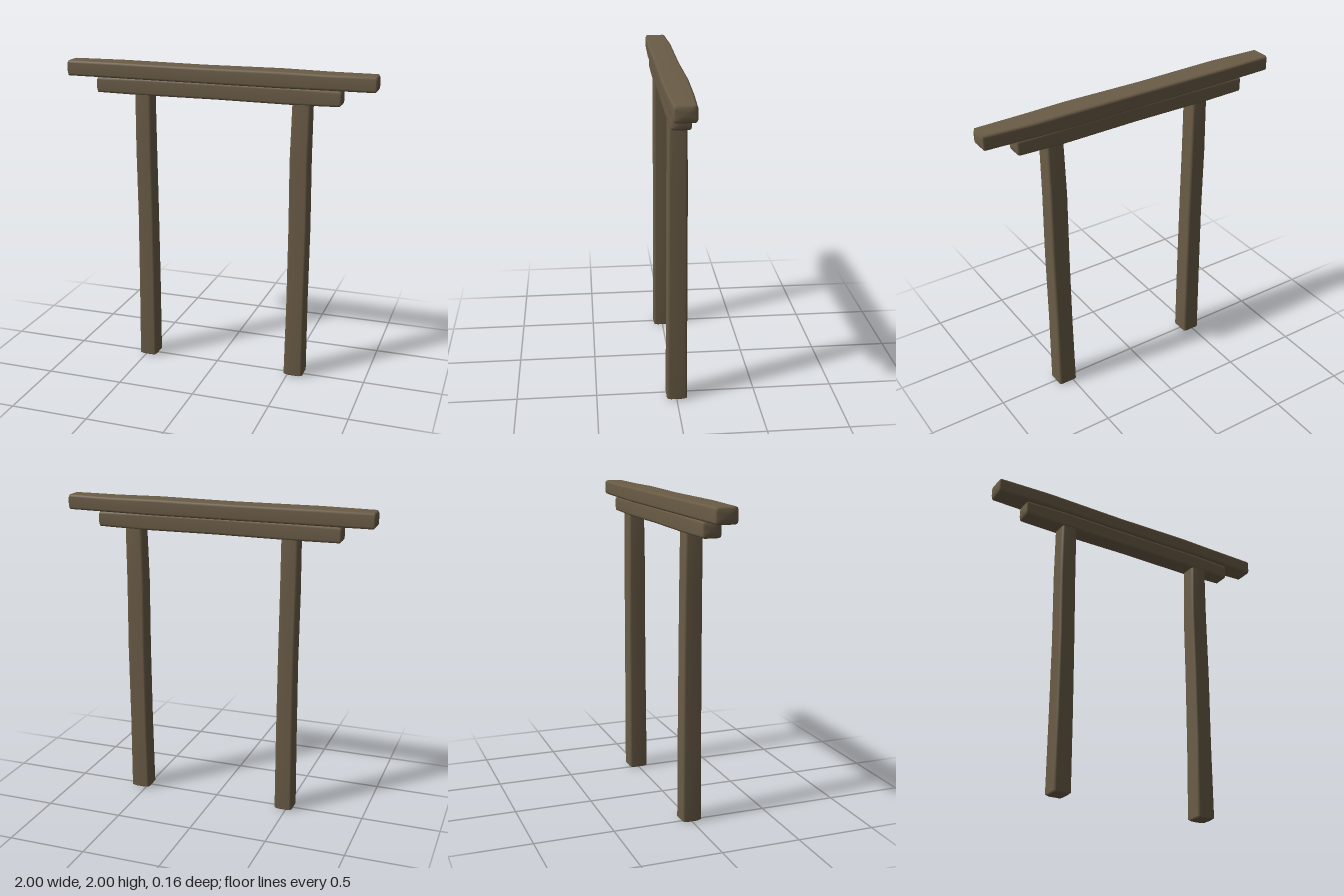
import * as THREE from 'three';

const wood = new THREE.MeshStandardMaterial({ color: 0x6a5c46 });
wood.name = 'weatheredWood';

// Rounded rectangle ring: half sizes hu, hv, corner radius r
function ring(hu, hv, r) {
  const pts = [];
  for (let q = 0; q < 4; q++) {
    const su = q === 0 || q === 3 ? 1 : -1;
    const sv = q < 2 ? 1 : -1;
    for (let k = 0; k < 3; k++) {
      const a = (q + k / 2) * Math.PI / 2;
      pts.push([su * (hu - r) + r * Math.cos(a), sv * (hv - r) + r * Math.sin(a)]);
    }
  }
  return pts;
}

// Hewn timber lofted through stations [along, uMin, uMax, vMin, vMax].
// Beams run along x (u = y, v = z); posts run along y (u = z, v = x).
function timber(name, axis, stations) {
  const place = axis === 'x' ? (a, u, v) => [a, u, v] : (a, u, v) => [v, a, u];
  const r = 0.016, n = 12, pos = [], index = [];
  const addRing = (s, at, inset) => {
    const cu = (s[1] + s[2]) / 2, cv = (s[3] + s[4]) / 2;
    const hu = (s[2] - s[1]) / 2 - inset, hv = (s[4] - s[3]) / 2 - inset;
    for (const [u, v] of ring(hu, hv, r)) pos.push(...place(at, cu + u, cv + v));
  };
  const first = stations[0], last = stations[stations.length - 1];
  // softened ends: inset ring, shoulder ring, then the body
  addRing(first, first[0], 0.012);
  addRing(first, first[0] + 0.01, 0);
  stations.slice(1, -1).forEach(s => addRing(s, s[0], 0));
  addRing(last, last[0] - 0.01, 0);
  addRing(last, last[0], 0.012);

  const rings = stations.length + 2;
  for (let k = 0; k < rings - 1; k++) {
    for (let i = 0; i < n; i++) {
      const a = k * n + i, b = k * n + (i + 1) % n;
      index.push(a, b, b + n, a, b + n, a + n);
    }
  }
  // end caps
  const centre = s => place(s[0], (s[1] + s[2]) / 2, (s[3] + s[4]) / 2);
  const c0 = pos.length / 3, c1 = c0 + 1, top = (rings - 1) * n;
  pos.push(...centre(first), ...centre(last));
  for (let i = 0; i < n; i++) {
    const j = (i + 1) % n;
    index.push(c0, j, i, c1, top + i, top + j);
  }
  const geo = new THREE.BufferGeometry();
  geo.setAttribute('position', new THREE.Float32BufferAttribute(pos, 3));
  geo.setIndex(index);
  geo.computeVertexNormals();
  const mesh = new THREE.Mesh(geo, wood);
  mesh.name = name;
  return mesh;
}

export function createModel() {
  const group = new THREE.Group();
  group.name = 'timberGateway';

  // long top beam, thicker through the middle
  group.add(timber('topBeam', 'x', [
    [-1, 1.9, 1.998, -0.07, 0.066],
    [-0.65, 1.902, 2, -0.082, 0.077],
    [-0.1, 1.9, 1.997, -0.079, 0.073],
    [0.4, 1.9, 2, -0.085, 0.077],
    [0.7, 1.902, 1.996, -0.08, 0.073],
    [1, 1.902, 1.998, -0.066, 0.064],
  ]));

  // shorter beam beneath it
  group.add(timber('lowerBeam', 'x', [
    [-0.8, 1.802, 1.9, -0.06, 0.057],
    [-0.5, 1.8, 1.905, -0.064, 0.062],
    [0, 1.802, 1.905, -0.06, 0.058],
    [0.5, 1.8, 1.905, -0.065, 0.062],
    [0.79, 1.804, 1.9, -0.058, 0.056],
  ]));

  // two slightly uneven posts
  group.add(timber('rightPost', 'y', [
    [0, -0.064, 0.062, -0.542, -0.424],
    [0.5, -0.063, 0.06, -0.537, -0.423],
    [1, -0.061, 0.058, -0.534, -0.425],
    [1.45, -0.06, 0.056, -0.539, -0.429],
    [1.83, -0.056, 0.055, -0.537, -0.43],
  ]));
  group.add(timber('leftPost', 'y', [
    [0, -0.065, 0.062, 0.476, 0.603],
    [0.5, -0.063, 0.06, 0.483, 0.602],
    [1, -0.062, 0.058, 0.485, 0.606],
    [1.45, -0.06, 0.057, 0.482, 0.602],
    [1.83, -0.056, 0.055, 0.491, 0.605],
  ]));

  return group;
}
